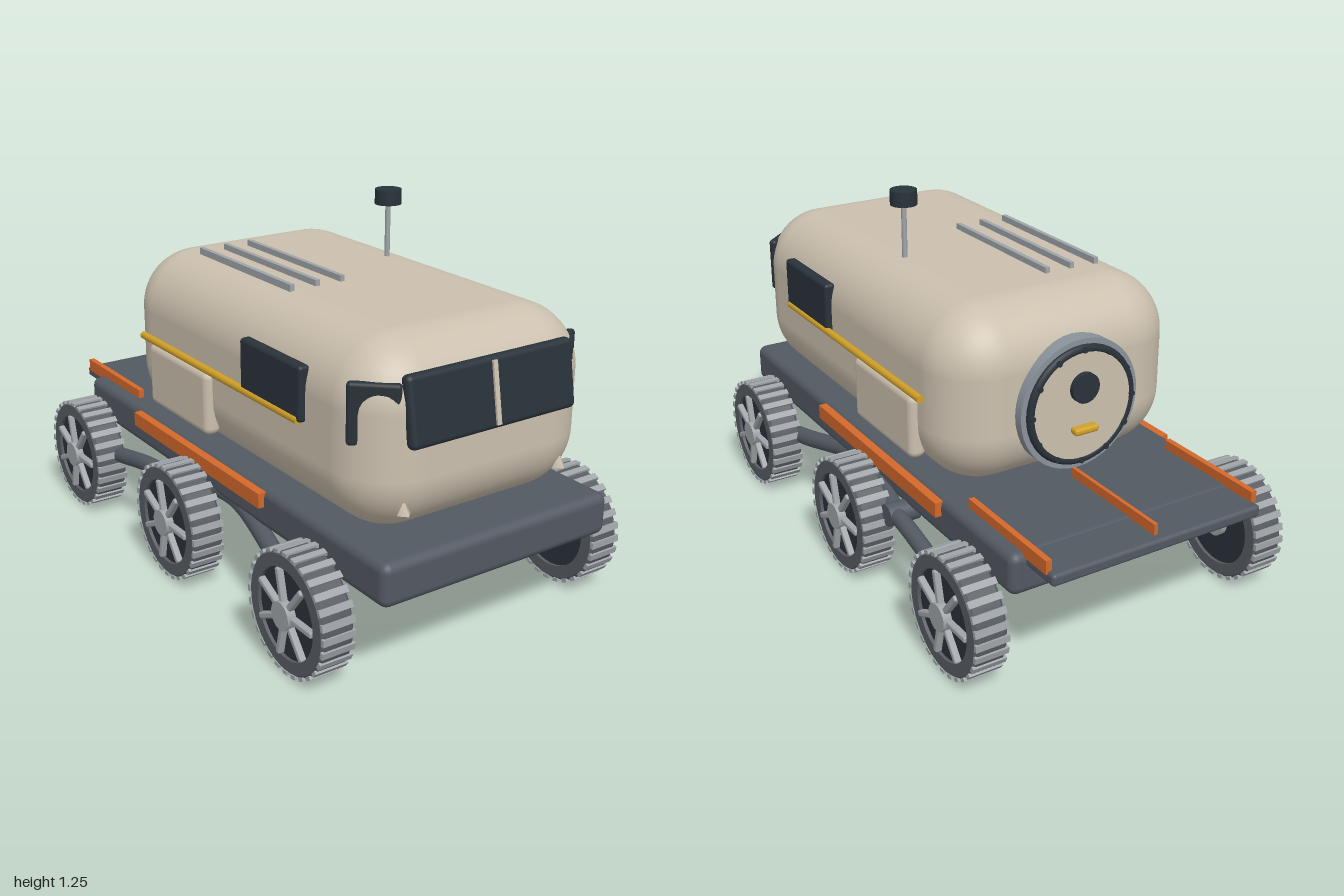
import * as THREE from 'three';
import { toCreasedNormals } from 'three/addons/utils/BufferGeometryUtils.js';
import { RoundedBoxGeometry } from 'three/addons/geometries/RoundedBoxGeometry.js';

const mat = (name, color) => {
  const m = new THREE.MeshStandardMaterial({ color });
  m.name = name;
  return m;
};
const shell = mat('sand shell', 0xcbc0ae);
const frame = mat('slate frame', 0x535962);
const rubber = mat('grey rubber', 0x585c62);
const glass = mat('dark glass', 0x29323a);
const orange = mat('orange trim', 0xd4682a);
const yellow = mat('yellow trim', 0xd0a028);
const silver = mat('silver metal', 0xa0a5a9);
const steel = mat('steel ring', 0x8a939b);

function add(parent, name, geometry, material, x = 0, y = 0, z = 0) {
  const mesh = new THREE.Mesh(geometry, material);
  mesh.name = name;
  mesh.position.set(x, y, z);
  parent.add(mesh);
  return mesh;
}
const box = (w, h, d) => new THREE.BoxGeometry(w, h, d);
const rbox = (w, h, d, r, seg = 3) => new RoundedBoxGeometry(w, h, d, seg, r);
const cylX = (r, len, n = 24) => new THREE.CylinderGeometry(r, r, len, n).rotateZ(-Math.PI / 2);
const cylZ = (r, len, n = 40) => new THREE.CylinderGeometry(r, r, len, n).rotateX(Math.PI / 2);
const tube = (pts, r) => new THREE.TubeGeometry(
  new THREE.CatmullRomCurve3(pts.map(p => new THREE.Vector3(...p))), 24, r, 12);

// Wheel with its outer face towards +x
function makeWheel() {
  const wheel = new THREE.Group();
  wheel.name = 'wheel';
  const profile = [[0.145, -0.056], [0.185, -0.056], [0.194, -0.046], [0.194, 0.046],
    [0.185, 0.056], [0.145, 0.056], [0.145, -0.056]].map(p => new THREE.Vector2(...p));
  const tyre = toCreasedNormals(new THREE.LatheGeometry(profile, 48), 0.5);
  add(wheel, 'tyre', tyre.rotateZ(-Math.PI / 2), rubber);
  add(wheel, 'rimDisc', cylX(0.147, 0.09, 40), glass);
  add(wheel, 'hub', cylX(0.045, 0.14), silver, 0.004);
  const lug = box(0.115, 0.012, 0.022).translate(0, 0.194, 0);
  for (let i = 0; i < 28; i++) {
    add(wheel, 'treadLug', lug, silver).rotation.x = i / 28 * Math.PI * 2;
  }
  const spoke = rbox(0.03, 0.11, 0.02, 0.006, 2).translate(0.05, 0.09, 0);
  for (let i = 0; i < 7; i++) {
    add(wheel, 'spoke', spoke, silver).rotation.x = 0.23 + i / 7 * Math.PI * 2;
  }
  return wheel;
}

// Round rear door, built around its own centre, facing -z
function makeHatch() {
  const hatch = new THREE.Group();
  hatch.name = 'rearHatch';
  add(hatch, 'hatchCollar', cylZ(0.218, 0.075), steel, 0, 0, -0.535);
  add(hatch, 'hatchDoor', cylZ(0.18, 0.025), shell, 0, 0, -0.575);
  add(hatch, 'hatchSeal', new THREE.TorusGeometry(0.187, 0.014, 10, 48), glass, 0, 0, -0.577);
  for (let i = 0; i < 12; i++) {
    const a = i / 12 * Math.PI * 2;
    add(hatch, 'hatchBolt', cylZ(0.01, 0.02, 8), glass,
      0.187 * Math.cos(a), 0.187 * Math.sin(a), -0.585);
  }
  add(hatch, 'porthole', cylZ(0.05, 0.03, 24), glass, 0, 0.065, -0.59);
  add(hatch, 'hatchHandle', rbox(0.09, 0.024, 0.035, 0.01), yellow, 0, -0.073, -0.603);
  hatch.position.y = 0.692;
  return hatch;
}

export function createModel() {
  const rover = new THREE.Group();
  rover.name = 'rover';

  // Chassis and rear deck
  add(rover, 'chassis', rbox(0.87, 0.14, 1.865, 0.03), frame, 0, 0.36, 0.0675);
  add(rover, 'rearDeck', rbox(0.77, 0.04, 0.55, 0.012), frame, 0, 0.406, -0.725);
  for (const x of [-0.38, 0, 0.38]) {
    add(rover, 'deckRail', box(x ? 0.02 : 0.013, 0.045, 0.42), orange, x, 0.439, -0.76);
  }

  // Cabin
  add(rover, 'cabin', rbox(0.87, 0.595, 1.475, 0.2, 8), shell, 0, 0.7225, 0.1975);
  const windscreen = add(rover, 'windscreen', rbox(0.62, 0.215, 0.04, 0.018), glass, 0, 0.832, 0.92);
  windscreen.rotation.x = -0.17;
  add(windscreen, 'windscreenPost', box(0.016, 0.19, 0.012), shell, 0, 0, 0.021);
  rover.add(makeHatch());

  // Roof strips and antenna
  for (const x of [-0.26, -0.165, -0.07]) {
    add(rover, 'roofStrip', box(0.016, 0.03, 0.56), silver, x, 1.025, 0);
  }
  add(rover, 'antennaMast', new THREE.CylinderGeometry(0.009, 0.009, 0.2, 12), silver, 0.24, 1.11, 0.105);
  add(rover, 'antennaHead', new THREE.CylinderGeometry(0.045, 0.045, 0.05, 24), glass, 0.24, 1.225, 0.105);

  // Mirrored parts
  for (const s of [-1, 1]) {
    const corner = add(rover, 'cornerWindow', rbox(0.155, 0.19, 0.03, 0.012), glass, s * 0.368, 0.82, 0.85);
    corner.rotation.y = s * 0.75;
    add(rover, 'sideWindow', rbox(0.04, 0.175, 0.33, 0.012), glass, s * 0.436, 0.8175, 0.445);
    add(rover, 'sideHatch', rbox(0.06, 0.22, 0.395, 0.025), shell, s * 0.431, 0.615, -0.1225);
    add(rover, 'sideRail', new THREE.CylinderGeometry(0.013, 0.013, 0.965, 12).rotateX(Math.PI / 2),
      yellow, s * 0.45, 0.736, 0.1125);
    add(rover, 'sill', box(0.045, 0.05, 0.84), orange, s * 0.434, 0.395, -0.04);
    add(rover, 'frontNub', new THREE.ConeGeometry(0.024, 0.045, 4), shell, s * 0.3, 0.543, 0.908);

    // Rocker arm, bogie and wheels
    add(rover, 'rockerArm', tube([[s * 0.48, 0.2, 0.72], [s * 0.455, 0.24, 0.5],
      [s * 0.4, 0.3, 0.15], [s * 0.43, 0.3, -0.05], [s * 0.47, 0.275, -0.22]], 0.03), frame);
    add(rover, 'bogieArm', tube([[s * 0.49, 0.2, -0.71], [s * 0.49, 0.24, -0.52],
      [s * 0.475, 0.275, -0.22], [s * 0.46, 0.2, -0.015]], 0.028), frame);
    add(rover, 'bogiePivot', cylX(0.038, 0.11), frame, s * 0.45, 0.275, -0.22);
    for (const z of [0.72, -0.013, -0.712]) {
      const wheel = makeWheel();
      wheel.position.set(s * 0.526, 0.2, z);
      wheel.rotation.y = s < 0 ? Math.PI : 0;
      rover.add(wheel);
    }
  }
  return rover;
}
